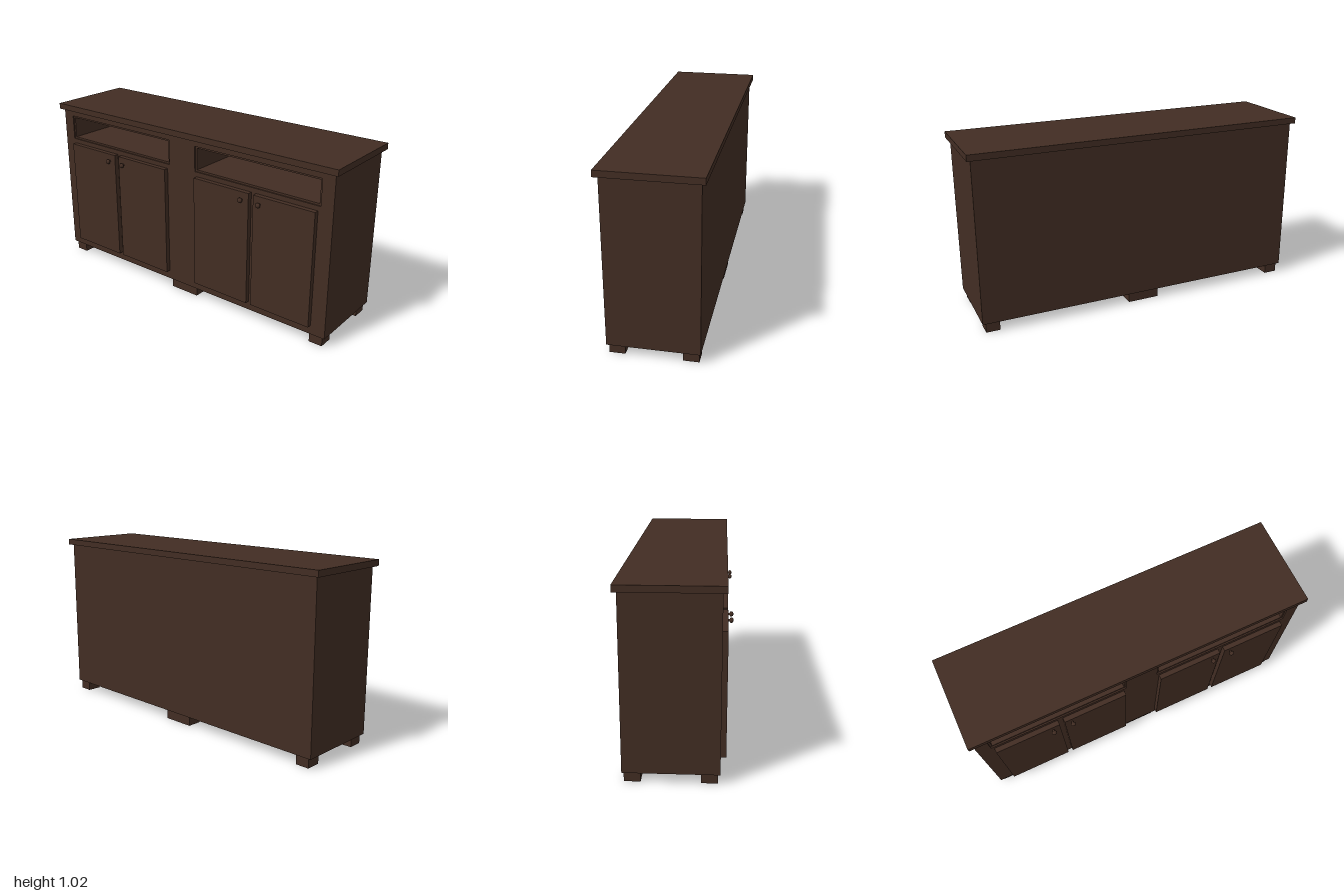
import * as THREE from 'three';

export function createModel() {
  const group = new THREE.Group();
  const wood = new THREE.MeshStandardMaterial({ color: 0x422d23 });
  wood.name = 'dark walnut';

  const add = (name, geometry) => {
    const mesh = new THREE.Mesh(geometry, wood);
    mesh.name = name;
    group.add(mesh);
    return mesh;
  };
  // Box given by its limits on each axis
  const box = (name, x0, x1, y0, y1, z0, z1) =>
    add(name, new THREE.BoxGeometry(x1 - x0, y1 - y0, z1 - z0))
      .position.set((x0 + x1) / 2, (y0 + y1) / 2, (z0 + z1) / 2);

  const rectangle = (path, x0, x1, y0, y1) => {
    path.moveTo(x0, y0);
    path.lineTo(x1, y0);
    path.lineTo(x1, y1);
    path.lineTo(x0, y1);
    path.closePath();
    return path;
  };
  // Cabinet section pierced by the two shelf openings, narrowed by an inset
  const section = (name, z0, z1, inset) => {
    const shape = rectangle(new THREE.Shape(), -0.978, 0.978, 0.056, 0.99);
    for (const x of [-0.5, 0.5]) {
      const half = 0.405 - inset;
      shape.holes.push(rectangle(new THREE.Path(), x - half, x + half, 0.804 + inset, 0.953 - inset));
    }
    const geometry = new THREE.ExtrudeGeometry(shape, { depth: z1 - z0, bevelEnabled: false });
    add(name, geometry).position.z = z0;
  };

  // Carcass: front face with a small step around each opening, core and back
  section('frontFace', 0.222, 0.23, 0);
  section('cabinetBody', -0.24, 0.222, 0.011);
  box('backPanel', -0.978, 0.978, 0.056, 0.99, -0.264, -0.24);
  box('countertop', -1, 1, 0.99, 1.025, -0.285, 0.252);

  // Feet: corners and wide middle blocks, front and back
  for (const [z0, z1] of [[0.134, 0.219], [-0.255, -0.17]]) {
    for (const [x0, x1] of [[-0.96, -0.88], [-0.095, 0.095], [0.88, 0.96]]) {
      box('foot', x0, x1, 0, 0.056, z0, z1);
    }
  }

  // Knob profile: slim stem and rounded head
  const knobProfile = [[0.006, 0], [0.006, 0.008], [0.011, 0.01], [0.0145, 0.015],
    [0.0145, 0.019], [0.011, 0.025], [0.006, 0.028], [0, 0.029]]
    .map(([r, y]) => new THREE.Vector2(r, y));
  const knobGeometry = new THREE.LatheGeometry(knobProfile, 16);
  knobGeometry.rotateX(Math.PI / 2);

  // Two pairs of doors with knobs near the meeting edges
  for (const x of [-0.5, 0.5]) {
    for (const side of [-1, 1]) {
      const edges = [x + side * 0.015, x + side * 0.391].sort((a, b) => a - b);
      box('door', edges[0], edges[1], 0.11, 0.777, 0.23, 0.258);
      add('knob', knobGeometry).position.set(x + side * 0.058, 0.733, 0.258);
    }
  }
  return group;
}
